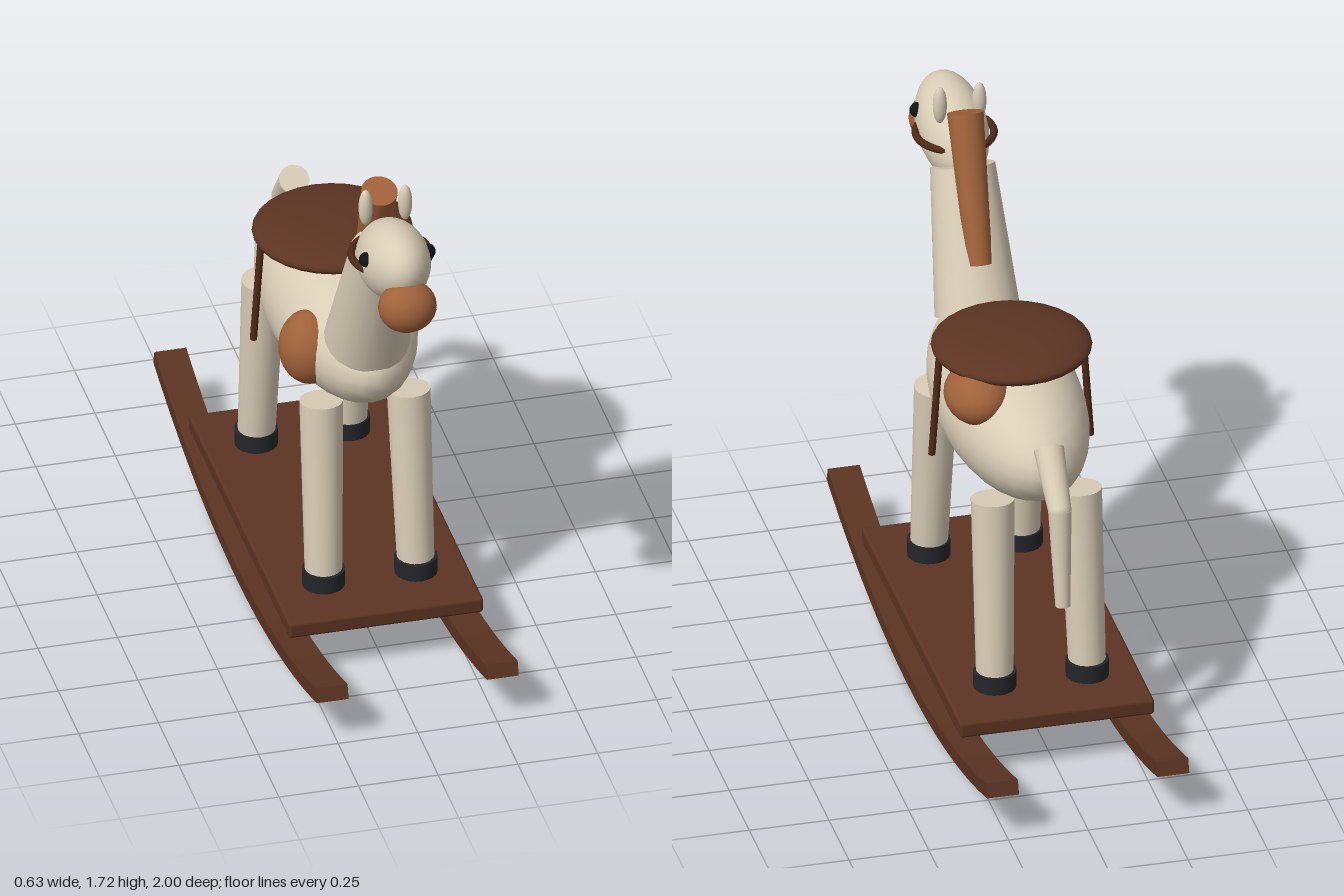
import * as THREE from 'three';
import { toCreasedNormals } from 'three/addons/utils/BufferGeometryUtils.js';
import { RoundedBoxGeometry } from 'three/addons/geometries/RoundedBoxGeometry.js';

const paint = (name, color) => {
  const m = new THREE.MeshStandardMaterial({ color });
  m.name = name;
  return m;
};

export function createModel() {
  const cream = paint('cream', 0xd9cdb6);
  const tan = paint('tan', 0xa0623a);
  const wood = paint('dark wood', 0x5c3422);
  const leather = paint('strap leather', 0x4f2a17);
  const black = paint('hoof black', 0x24262a);
  const eyeBlack = paint('eye black', 0x121212);

  const model = new THREE.Group();
  model.name = 'rockingHorse';

  const add = (name, geometry, material, position = [0, 0, 0]) => {
    const mesh = new THREE.Mesh(geometry, material);
    mesh.name = name;
    mesh.position.set(...position);
    model.add(mesh);
    return mesh;
  };

  // Ellipsoid with the given half sizes
  const blob = (name, material, position, radii, tilt = 0, sides = 28) => {
    const mesh = add(name, new THREE.SphereGeometry(1, sides, 18), material, position);
    mesh.scale.set(...radii);
    mesh.rotation.x = tilt;
    return mesh;
  };

  // Tapered round bar between two points
  const bar = (name, material, from, to, r0, r1, sides = 20) => {
    const a = new THREE.Vector3(...from);
    const b = new THREE.Vector3(...to);
    const dir = b.clone().sub(a);
    const mesh = add(name, new THREE.CylinderGeometry(r1, r0, dir.length(), sides), material);
    mesh.position.copy(a).add(b).multiplyScalar(0.5);
    mesh.quaternion.setFromUnitVectors(new THREE.Vector3(0, 1, 0), dir.normalize());
    return mesh;
  };

  // Body, neck and head
  blob('body', cream, [0, 0.955, 0], [0.222, 0.215, 0.515]);
  bar('neck', cream, [0, 1.045, 0.38], [0, 1.46, 0.565], 0.132, 0.1);
  blob('head', cream, [0, 1.52, 0.7], [0.108, 0.125, 0.2], -0.36);
  blob('muzzle', tan, [0, 1.457, 0.873], [0.09, 0.082, 0.079]);
  bar('mane', tan, [0, 1.226, 0.358], [0, 1.662, 0.532], 0.04, 0.056);

  // Bridle ring around the head
  const bridle = add('bridle', new THREE.TorusGeometry(0.12, 0.012, 8, 32), leather, [0, 1.52, 0.665]);
  bridle.rotation.x = Math.PI / 2;

  // Seat pad and coat patches
  blob('saddle', wood, [0, 1.173, -0.043], [0.246, 0.052, 0.246]);
  blob('leftPatch', tan, [0.14, 1.092, -0.177], [0.102, 0.088, 0.128]);
  blob('rightPatch', tan, [-0.15, 0.96, 0.26], [0.095, 0.12, 0.1]);

  // Tail in two tapered lengths
  bar('tailBase', cream, [0, 1.063, -0.51], [0, 0.925, -0.645], 0.047, 0.036);
  blob('tailJoint', cream, [0, 0.925, -0.645], [0.036, 0.036, 0.036], 0, 16);
  bar('tailEnd', cream, [0, 0.925, -0.645], [0, 0.61, -0.683], 0.036, 0.023);

  // Curved rocker outline, extruded across its width
  const R = 3.3;
  const half = Math.asin(1 / R);
  const down = -Math.PI / 2;
  const outline = new THREE.Shape();
  outline.absarc(0, R, R, down - half, down + half, false);
  outline.absarc(0, R, R - 0.047, down + half, down - half, true);
  const rocker = toCreasedNormals(
    new THREE.ExtrudeGeometry(outline, { depth: 0.1, bevelEnabled: false, curveSegments: 28 })
      .translate(0, 0, -0.05).rotateY(-Math.PI / 2), 0.5);

  for (const s of [1, -1]) {
    const side = s > 0 ? 'left' : 'right';
    blob(side + 'Ear', cream, [s * 0.062, 1.656, 0.603], [0.022, 0.062, 0.02], 0, 16);
    blob(side + 'Eye', eyeBlack, [s * 0.096, 1.563, 0.748], [0.024, 0.024, 0.024], 0, 16);
    // Stirrup strap
    bar(side + 'Strap', leather, [s * 0.249, 0.817, -0.04], [s * 0.226, 1.15, -0.04], 0.011, 0.011, 10);
    add(side + 'Rocker', rocker, wood, [s * 0.267, 0, 0]);

    // Legs splay towards the ends of the platform
    for (const e of [1, -1]) {
      const end = e > 0 ? 'Front' : 'Back';
      bar(side + end + 'Leg', cream, [s * 0.145, 0.21, e * 0.413], [s * 0.137, 0.822, e * 0.353], 0.057, 0.067);
      add(side + end + 'Hoof', new THREE.CylinderGeometry(0.066, 0.066, 0.06, 20), black,
        [s * 0.145, 0.226, e * 0.412]);
    }
  }

  // Platform between the rockers
  add('platform', new RoundedBoxGeometry(0.61, 0.052, 1.235, 2, 0.01), wood, [0, 0.174, 0]);

  return model;
}
